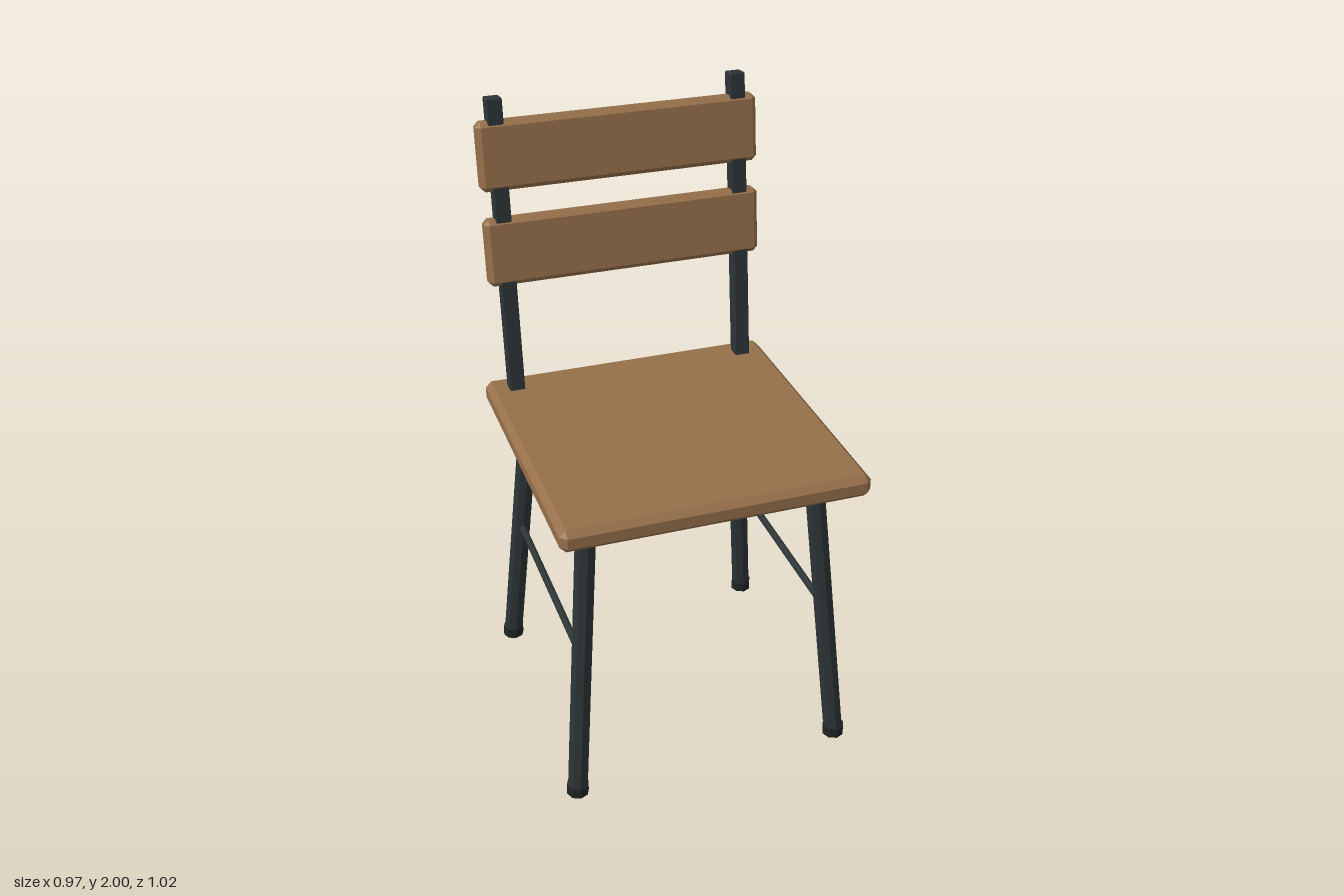
import * as THREE from 'three';
import { ConvexGeometry } from 'three/addons/geometries/ConvexGeometry.js';

const wood = new THREE.MeshStandardMaterial({ color: 0x96704a, flatShading: true });
const metal = new THREE.MeshStandardMaterial({ color: 0x2c3436, flatShading: true });
const rubber = new THREE.MeshStandardMaterial({ color: 0x1f2324, flatShading: true });

// Box with every edge and corner chamfered by c
function chamferBox(w, h, d, c) {
  const points = [];
  for (const sx of [-1, 1]) for (const sy of [-1, 1]) for (const sz of [-1, 1]) {
    const x = w / 2, y = h / 2, z = d / 2;
    points.push(
      new THREE.Vector3(sx * x, sy * (y - c), sz * (z - c)),
      new THREE.Vector3(sx * (x - c), sy * y, sz * (z - c)),
      new THREE.Vector3(sx * (x - c), sy * (y - c), sz * z));
  }
  return new ConvexGeometry(points);
}

function add(parent, name, geometry, material, x, y, z) {
  const mesh = new THREE.Mesh(geometry, material);
  mesh.name = name;
  mesh.position.set(x, y, z);
  parent.add(mesh);
  return mesh;
}

// Straight eight-sided rod between two points
function rod(parent, name, from, to, radius) {
  const dir = to.clone().sub(from);
  const mid = from.clone().add(to).multiplyScalar(0.5);
  const mesh = add(parent, name, new THREE.CylinderGeometry(radius, radius, dir.length(), 8), metal, mid.x, mid.y, mid.z);
  mesh.quaternion.setFromUnitVectors(new THREE.Vector3(0, 1, 0), dir.normalize());
  return mesh;
}

export function createModel() {
  const chair = new THREE.Group();
  chair.name = 'chair';

  // Seat board and the metal plate under it
  add(chair, 'seat', chamferBox(0.97, 0.075, 0.965, 0.02), wood, 0, 1.0125, 0.0275);
  add(chair, 'seatFrame', chamferBox(0.8, 0.055, 0.79, 0.004), metal, 0, 0.9525, 0.025);

  for (const side of [-1, 1]) {
    const label = side > 0 ? 'left' : 'right';

    // Splayed legs with feet
    for (const [end, topZ, footZ] of [['Front', 0.348, 0.437], ['Back', -0.338, -0.427]]) {
      const foot = new THREE.Vector3(side * 0.445, 0.015, footZ);
      const top = new THREE.Vector3(side * 0.368, 0.94, topZ);
      rod(chair, label + end + 'Leg', foot, top, 0.033);
      add(chair, label + end + 'Foot', new THREE.CylinderGeometry(0.036, 0.036, 0.035, 8), rubber, foot.x, 0.0175, footZ);
    }

    // Side stretcher
    rod(chair, label + 'Stretcher',
      new THREE.Vector3(side * 0.405, 0.503, 0.385),
      new THREE.Vector3(side * 0.405, 0.503, -0.375), 0.012);
  }

  // Reclined backrest, built upright and tilted about the seat top
  const back = new THREE.Group();
  back.name = 'backrest';
  back.position.set(0, 1.05, -0.374);
  back.rotation.x = -0.117;
  chair.add(back);
  for (const side of [-1, 1]) {
    add(back, side > 0 ? 'leftPost' : 'rightPost', chamferBox(0.05, 1.0, 0.05, 0.003), metal, side * 0.395, 0.455, 0);
  }
  add(back, 'lowerSlat', chamferBox(0.916, 0.218, 0.058, 0.015), wood, 0, 0.467, 0);
  add(back, 'upperSlat', chamferBox(0.916, 0.218, 0.058, 0.015), wood, 0, 0.775, 0);

  return chair;
}
